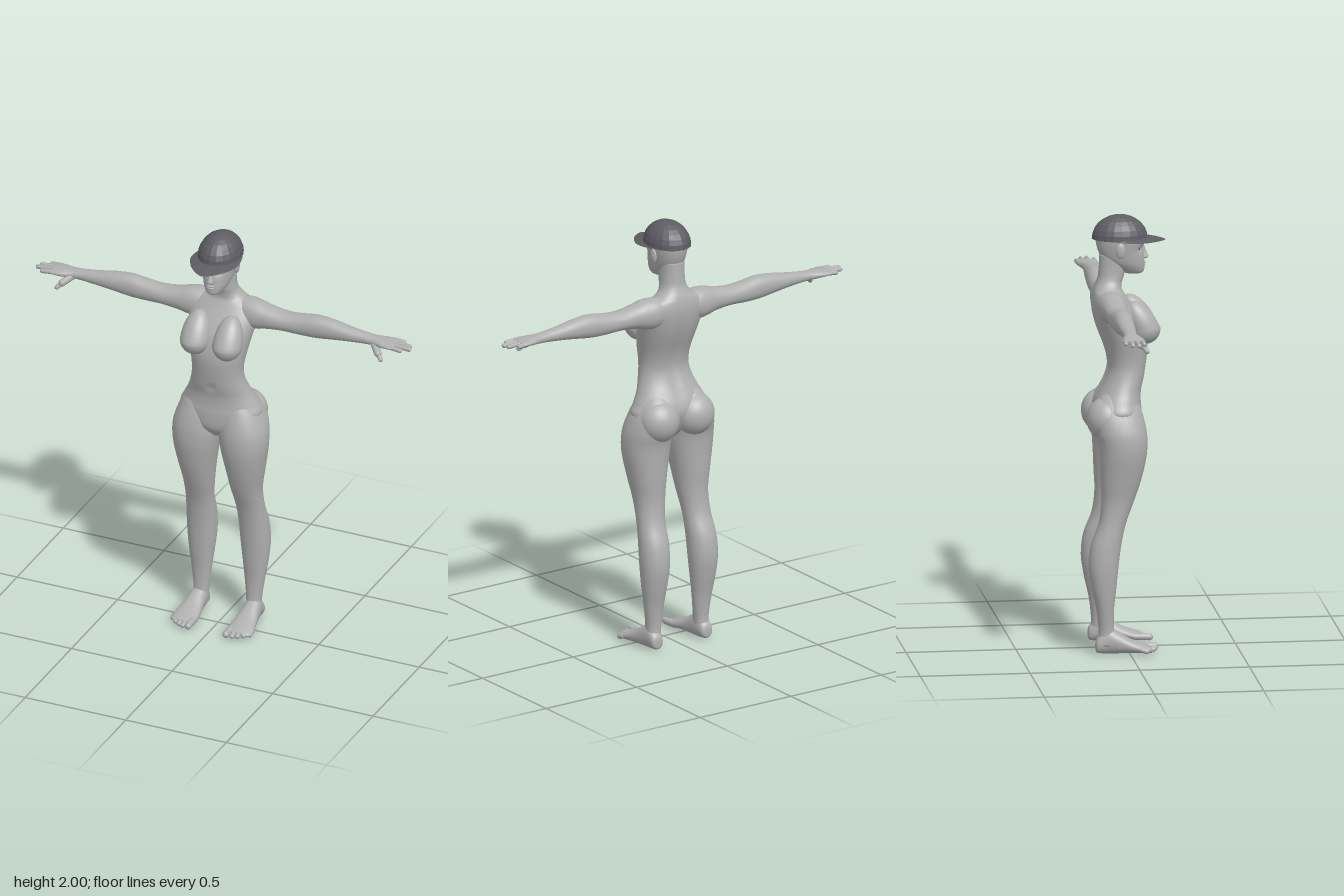
import * as THREE from 'three';

const material = (name, color, extra = {}) =>
  Object.assign(new THREE.MeshStandardMaterial({ color, ...extra }), { name });

// Smooth closed skin through rows [t, u0, u1, v0, v1]: t runs along the axis,
// u and v are the extents of an oval section. An optional rule moves points.
function loft(axis, rows, { seg = 32, steps = 5, power = 0.92, rule } = {}) {
  const rings = (rows.length - 1) * steps, pos = [], index = [];
  const put = (t, u, v) => {
    const p = axis === 'y' ? new THREE.Vector3(u, t, v)
      : axis === 'x' ? new THREE.Vector3(t, u, v) : new THREE.Vector3(u, v, t);
    if (rule) rule(p);
    pos.push(p.x, p.y, p.z);
  };
  const bend = (c) => Math.sign(c) * Math.abs(c) ** power;
  const row = (s) => {
    const i = Math.min(Math.floor(s), rows.length - 2), f = s - i;
    const at = (k) => rows[Math.max(0, Math.min(rows.length - 1, k))];
    return rows[0].map((_, c) => {
      const [a, b, d, e] = [at(i - 1)[c], at(i)[c], at(i + 1)[c], at(i + 2)[c]];
      return b + 0.5 * f * (d - a + f * (2 * a - 5 * b + 4 * d - e + f * (3 * (b - d) + e - a)));
    });
  };
  for (let r = 0; r <= rings; r++) {
    const [t, u0, u1, v0, v1] = row(r / steps);
    for (let k = 0; k < seg; k++) {
      const a = (k / seg) * Math.PI * 2;
      put(t, (u0 + u1) / 2 + ((u1 - u0) / 2) * bend(Math.cos(a)),
        (v0 + v1) / 2 + ((v1 - v0) / 2) * bend(Math.sin(a)));
    }
  }
  for (const [t, u0, u1, v0, v1] of [rows[0], rows.at(-1)]) put(t, (u0 + u1) / 2, (v0 + v1) / 2);
  const end = (rings + 1) * seg;
  const face = (a, b, c) => (axis === 'y' ? index.push(a, b, c) : index.push(a, c, b));
  for (let k = 0; k < seg; k++) {
    const n = (k + 1) % seg;
    for (let r = 0; r < rings; r++) {
      const a = r * seg + k, b = r * seg + n;
      face(a, a + seg, b);
      face(b, a + seg, b + seg);
    }
    face(end, k, n);
    face(end + 1, rings * seg + n, rings * seg + k);
  }
  const g = new THREE.BufferGeometry();
  g.setAttribute('position', new THREE.Float32BufferAttribute(pos, 3));
  g.setIndex(index);
  g.computeVertexNormals();
  return g;
}

const ellipsoid = (c, r) => new THREE.SphereGeometry(1, 28, 20).scale(...r).translate(...c);

// Rounded rod between two points
function rod(from, to, r) {
  const a = new THREE.Vector3(...from), b = new THREE.Vector3(...to), d = b.clone().sub(a);
  const g = new THREE.CapsuleGeometry(r, d.length(), 5, 12);
  g.applyQuaternion(new THREE.Quaternion().setFromUnitVectors(new THREE.Vector3(0, 1, 0), d.normalize()));
  return g.translate(...a.add(b).multiplyScalar(0.5).toArray());
}

function mirrored(geometry) {
  const g = geometry.clone().scale(-1, 1, 1), ix = g.index;
  for (let i = 0; i < ix.count; i += 3) {
    const b = ix.getX(i + 1);
    ix.setX(i + 1, ix.getX(i + 2));
    ix.setX(i + 2, b);
  }
  return g;
}

export function createModel() {
  const model = new THREE.Group();
  model.name = 'figure';
  const body = material('body grey', 0xb0b0b0);
  const capGrey = material('cap grey', 0x5e5d64, { flatShading: true, side: THREE.DoubleSide });
  const dark = material('eye grey', 0x55555a);
  const add = (name, g, mat = body) => {
    const m = new THREE.Mesh(g, mat);
    m.name = name;
    model.add(m);
  };
  const pair = (name, g, mat) => {
    add('left' + name, g, mat);
    add('right' + name, mirrored(g), mat);
  };
  const gauss = (d, w) => Math.exp(-((d / w) ** 2));

  // Torso and neck, with spine groove and navel: [y, half width, back, front]
  const torso = [
    [0.98, 0.03, -0.08, 0.03], [1.03, 0.13, -0.12, 0.066], [1.1, 0.195, -0.15, 0.07],
    [1.15, 0.178, -0.145, 0.066], [1.2, 0.152, -0.122, 0.068], [1.25, 0.133, -0.098, 0.08],
    [1.3, 0.122, -0.085, 0.088], [1.35, 0.122, -0.09, 0.095], [1.4, 0.13, -0.104, 0.098],
    [1.45, 0.14, -0.123, 0.092], [1.5, 0.15, -0.14, 0.078], [1.55, 0.16, -0.151, 0.052],
    [1.6, 0.162, -0.156, 0.018], [1.64, 0.138, -0.152, -0.008], [1.665, 0.095, -0.145, -0.02],
    [1.69, 0.069, -0.135, -0.018], [1.72, 0.059, -0.126, -0.008], [1.77, 0.056, -0.122, 0],
    [1.82, 0.056, -0.12, 0],
  ].map(([y, w, b, f]) => [y, -w, w, b, f]);
  add('torso', loft('y', torso, {
    seg: 48,
    rule: (p) => {
      if (p.z < -0.05) p.z += 0.014 * gauss(p.x, 0.025) * gauss(p.y - 1.38, 0.2);
      else if (p.z > 0.03) p.z -= 0.01 * gauss(p.x, 0.014) * gauss(p.y - 1.25, 0.018);
    },
  }));

  // Chest: rounded below, drawn out and back towards the collarbone
  const chest = new THREE.SphereGeometry(1, 32, 24).scale(0.068, 0.072, 0.072);
  const cp = chest.attributes.position;
  for (let i = 0; i < cp.count; i++) {
    const y = cp.getY(i);
    if (y > 0) cp.setY(i, y * 1.75).setZ(i, cp.getZ(i) - y * 0.7);
  }
  chest.computeVertexNormals();
  pair('Chest', chest.translate(0.08, 1.488, 0.077));
  pair('Buttock', ellipsoid([0.096, 1.077, -0.098], [0.098, 0.1, 0.092]));

  // Legs: [y, inner x, outer x, back, front]
  pair('Leg', loft('y', [
    [0.04, 0.1, 0.172, -0.148, -0.05], [0.1, 0.096, 0.166, -0.14, -0.068],
    [0.2, 0.086, 0.178, -0.15, -0.07], [0.3, 0.075, 0.192, -0.172, -0.06],
    [0.4, 0.065, 0.2, -0.186, -0.05], [0.5, 0.062, 0.198, -0.175, -0.037],
    [0.6, 0.06, 0.19, -0.138, -0.015], [0.7, 0.047, 0.19, -0.126, 0.022],
    [0.8, 0.033, 0.206, -0.13, 0.055], [0.9, 0.015, 0.223, -0.134, 0.078],
    [0.97, 0.004, 0.228, -0.14, 0.084], [1.03, 0.001, 0.222, -0.155, 0.08],
    [1.1, 0.002, 0.198, -0.165, 0.064], [1.16, 0.015, 0.165, -0.14, 0.04],
    [1.2, 0.04, 0.13, -0.1, 0],
  ]));

  // Feet: [z, inner x, outer x, bottom, top]
  pair('Foot', loft('z', [
    [-0.154, 0.12, 0.155, 0.015, 0.05], [-0.144, 0.106, 0.166, 0.004, 0.075],
    [-0.1, 0.097, 0.172, 0, 0.115], [-0.05, 0.092, 0.18, 0, 0.094],
    [0, 0.084, 0.19, 0.002, 0.066], [0.05, 0.078, 0.198, 0.002, 0.046],
    [0.085, 0.08, 0.196, 0.004, 0.034], [0.098, 0.09, 0.18, 0.01, 0.026],
  ]));
  for (let i = 0; i < 5; i++) {
    const x = 0.094 + i * 0.023 + (i ? 0.005 : 0), r = i ? 0.0115 : 0.016;
    pair('Toe' + (i + 1), rod([x, 0.022, 0.05], [x, r + 0.003, 0.121 - 0.003 * i * i], r));
  }

  // Arms and palms: [x, bottom, top, back, front]
  pair('Arm', loft('x', [
    [0.06, 1.55, 1.66, -0.135, -0.03], [0.12, 1.525, 1.667, -0.145, -0.015],
    [0.17, 1.528, 1.663, -0.138, -0.012], [0.22, 1.54, 1.65, -0.13, -0.015],
    [0.3, 1.548, 1.637, -0.125, -0.02], [0.38, 1.545, 1.643, -0.122, -0.025],
    [0.46, 1.546, 1.654, -0.12, -0.027], [0.54, 1.556, 1.648, -0.116, -0.03],
    [0.62, 1.566, 1.634, -0.109, -0.034], [0.7, 1.573, 1.623, -0.103, -0.04],
    [0.75, 1.576, 1.618, -0.105, -0.038], [0.8, 1.58, 1.615, -0.118, -0.022],
    [0.845, 1.585, 1.61, -0.122, -0.02], [0.855, 1.59, 1.606, -0.112, -0.03],
  ].map(([x, b, t, z0, z1]) => [x, b, t, z0, z1]), { seg: 28 }));
  [[-0.03, 0.889], [-0.058, 0.922], [-0.085, 0.914], [-0.111, 0.873]].forEach(([z, tip], i) =>
    pair('Finger' + (i + 1), rod([0.82, 1.6, z * 0.9 - 0.007], [tip, 1.595, z], 0.0105)));
  pair('ThumbBase', rod([0.75, 1.588, -0.055], [0.785, 1.562, -0.02], 0.017));
  pair('Thumb', rod([0.78, 1.565, -0.025], [0.805, 1.542, -0.006], 0.011));

  // Head with eye sockets: [y, half width, back, front]
  const head = [
    [1.727, 0.018, 0.01, 0.065], [1.738, 0.036, -0.02, 0.083], [1.77, 0.056, -0.07, 0.085],
    [1.8, 0.066, -0.108, 0.083], [1.84, 0.074, -0.127, 0.08], [1.88, 0.08, -0.136, 0.086],
    [1.92, 0.08, -0.135, 0.08], [1.95, 0.066, -0.11, 0.06],
  ].map(([y, w, b, f]) => [y, -w, w, b, f]);
  add('head', loft('y', head, {
    seg: 48,
    rule: (p) => {
      if (p.z > 0.02) p.z -= 0.013 * gauss(Math.abs(p.x) - 0.034, 0.018) * gauss(p.y - 1.846, 0.016);
    },
  }));
  add('nose', loft('y', [
    [1.793, -0.01, 0.01, 0.07, 0.088], [1.802, -0.015, 0.015, 0.07, 0.104],
    [1.825, -0.01, 0.01, 0.065, 0.096], [1.858, -0.009, 0.009, 0.06, 0.084],
  ], { seg: 16 }));
  add('upperLip', ellipsoid([0, 1.779, 0.083], [0.02, 0.006, 0.009]));
  add('lowerLip', ellipsoid([0, 1.768, 0.082], [0.018, 0.006, 0.009]));
  pair('Eye', ellipsoid([0.033, 1.845, 0.0575], [0.014, 0.005, 0.0045]), dark);
  pair('Ear', ellipsoid([0.079, 1.846, -0.032], [0.011, 0.036, 0.022]).rotateY(0));

  // Cap dome
  add('capDome', new THREE.SphereGeometry(1, 20, 7, 0, Math.PI * 2, 0, Math.PI / 2)
    .scale(0.1, 0.108, 0.127).translate(0, 1.892, -0.027), capGrey);

  // Cap brim: strip from the rim to an outline that comes to a point in front
  const pos = [], index = [], n = 24, reach = 1.75;
  for (let i = 0; i <= n; i++) {
    const a = (i / n * 2 - 1) * reach, out = 1 - Math.abs(a) / reach;
    const flare = 1 + 0.75 * Math.min(out, 0.32);
    const x = Math.sin(a), z = Math.cos(a);
    pos.push(0.098 * x, 1.896, -0.027 + 0.125 * z);
    pos.push(0.1 * flare * x, 1.888 - 0.008 * out, -0.027 + 0.127 * z + 0.085 * out);
    if (i < n) index.push(2 * i, 2 * i + 1, 2 * i + 2, 2 * i + 2, 2 * i + 1, 2 * i + 3);
  }
  const brim = new THREE.BufferGeometry();
  brim.setAttribute('position', new THREE.Float32BufferAttribute(pos, 3));
  brim.setIndex(index);
  brim.computeVertexNormals();
  add('capBrim', brim, capGrey);

  return model;
}
